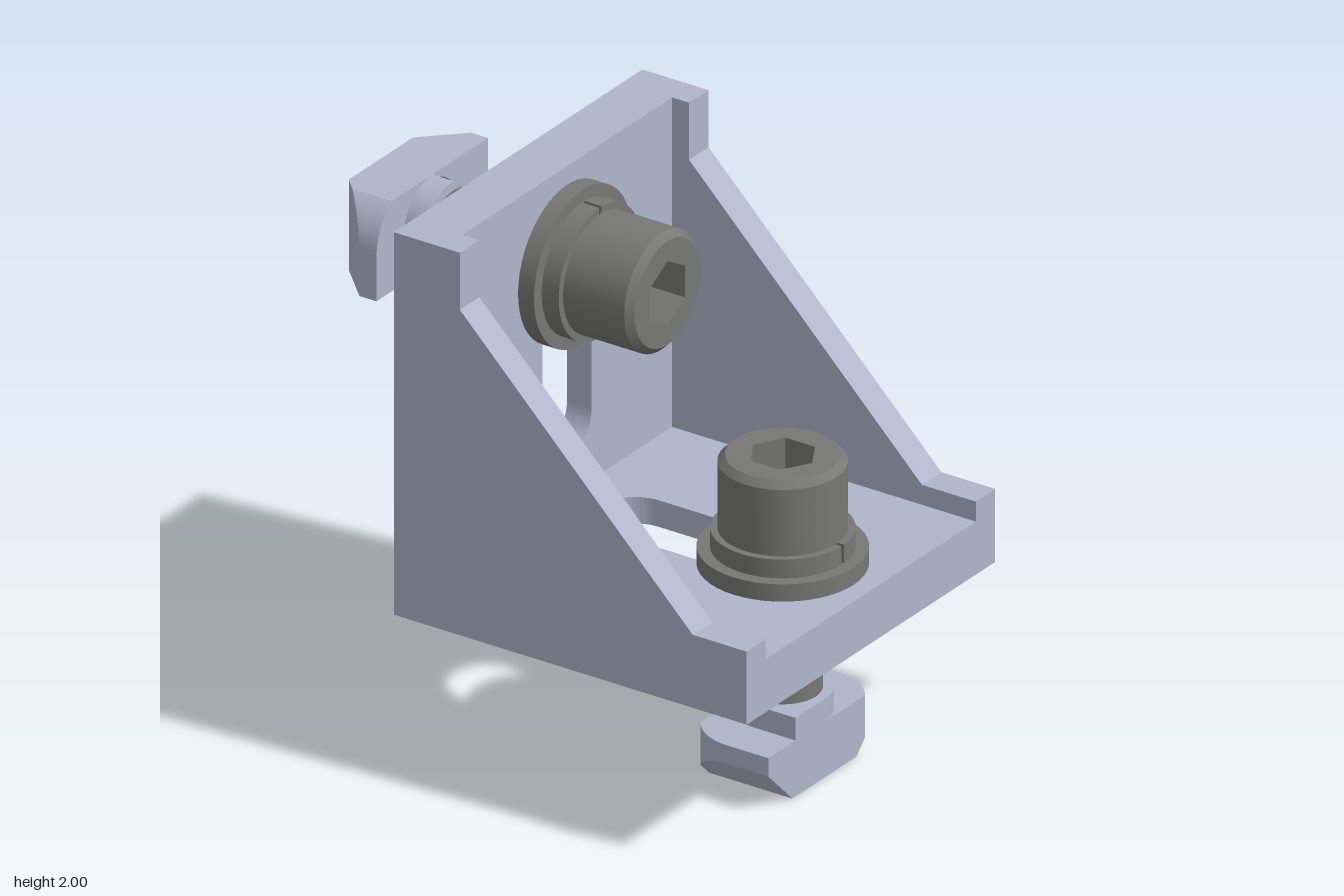
import * as THREE from 'three';
import { toCreasedNormals } from 'three/addons/utils/BufferGeometryUtils.js';

const aluminium = new THREE.MeshStandardMaterial({ color: 0xb0b5ca });
aluminium.name = 'pale aluminium';
const darkSteel = new THREE.MeshStandardMaterial({ color: 0x777776 });
darkSteel.name = 'dark steel';

function part(name, geometry, material) {
  const mesh = new THREE.Mesh(toCreasedNormals(geometry, 0.6), material);
  mesh.name = name;
  return mesh;
}

const polygon = (points) => new THREE.Shape(points.map(([x, y]) => new THREE.Vector2(x, y)));

// Extrude an x-y outline, centred on z
function extrudeZ(shape, width, z = 0) {
  const g = new THREE.ExtrudeGeometry(shape, { depth: width, bevelEnabled: false, curveSegments: 24 });
  return g.translate(0, 0, z - width / 2);
}

// Extrude an x-z outline from y0 up to y1
function extrudeY(shape, y0, y1) {
  const g = new THREE.ExtrudeGeometry(shape, { depth: y1 - y0, bevelEnabled: false, curveSegments: 24 });
  return g.rotateX(Math.PI / 2).translate(0, y1, 0);
}

function lathe(points) {
  return new THREE.LatheGeometry(points.map(([r, y]) => new THREE.Vector2(r, y)), 48);
}

function circlePath(r) {
  return new THREE.Path().absarc(0, 0, r, 0, Math.PI * 2, true);
}

const WALL = 0.115, HALF = 0.735, INNER = HALF - WALL, LENGTH = 1.44;

// One slotted leg: runs along s * x from the corner, outer face on y = 0
function createLeg(name, s) {
  const leg = new THREE.Group();
  leg.name = name;

  // thin plate with a rounded slot
  const plate = polygon([[s * 0.1, -INNER], [s * LENGTH, -INNER], [s * LENGTH, INNER], [s * 0.1, INNER]]);
  const r = 0.145;
  const ends = [s * (0.33 + r), s * (1.225 - r)].sort((a, b) => a - b);
  const slot = new THREE.Path();
  slot.absarc(ends[0], 0, r, Math.PI / 2, Math.PI * 1.5, false);
  slot.absarc(ends[1], 0, r, -Math.PI / 2, Math.PI / 2, false);
  slot.closePath();
  plate.holes.push(slot);
  leg.add(part('slottedPlate', extrudeY(plate, 0.1, 0.2), aluminium));

  // rim closing the recess at the free end
  const rim = new THREE.BoxGeometry(0.135, 0.1, 2 * INNER).translate(s * (LENGTH - 0.0675), 0.05, 0);
  leg.add(part('endRim', rim, aluminium));

  // wedge-shaped locating tabs
  for (const t of [0.13, 1.22]) {
    const wedge = polygon([[s * t, -0.07], [s * (t + 0.17), 0.1], [s * t, 0.1]]);
    leg.add(part('locatingTab', extrudeZ(wedge, 0.34), aluminium));
  }
  return leg;
}

function createBracket() {
  const bracket = new THREE.Group();
  bracket.name = 'angleBracket';

  // gusset side walls
  const profile = polygon([[-0.44, 0.56], [1, 0.56], [1, 0.835], [0.78, 0.835],
    [-0.17, 1.785], [-0.17, 2], [-0.44, 2]]);
  for (const side of [-1, 1]) {
    bracket.add(part('sideWall', extrudeZ(profile, WALL, side * (HALF - WALL / 2)), aluminium));
  }

  // solid strip where the legs meet
  const corner = new THREE.BoxGeometry(0.13, 0.13, 2 * INNER).translate(-0.375, 0.625, 0);
  bracket.add(part('cornerStrip', corner, aluminium));

  const bottom = createLeg('bottomLeg', 1);
  const upright = createLeg('uprightLeg', -1);
  upright.rotation.z = -Math.PI / 2;
  for (const leg of [bottom, upright]) {
    leg.position.set(-0.44, 0.56, 0);
    bracket.add(leg);
  }
  return bracket;
}

// T-shaped slot nut, outer end on y = 0
function createNut() {
  const nut = new THREE.Group();
  nut.name = 'slotNut';

  const core = polygon([[-0.17, -0.19], [0.17, -0.19], [0.17, 0.19], [-0.17, 0.19]]);
  core.holes.push(circlePath(0.15));
  nut.add(part('nutCore', extrudeY(core, 0, 0.21), aluminium));
  nut.add(part('nutBore', lathe([[0.125, 0.205], [0.125, 0.025], [0.15, 0]]), aluminium));

  // neck with two opposite corners rounded
  const neck = new THREE.Shape();
  neck.moveTo(-0.17, -0.17);
  neck.absarc(0, 0, 0.17, -Math.PI / 2, 0, false);
  neck.lineTo(0.17, 0.17);
  neck.absarc(0, 0, 0.17, Math.PI / 2, Math.PI, false);
  neck.closePath();
  nut.add(part('nutNeck', extrudeY(neck, 0.21, 0.295), aluminium));

  // wings: one rounded corner, outer face sloped at 45 degrees
  const outline = new THREE.Shape();
  outline.moveTo(-0.17, 0.19);
  outline.lineTo(0.17, 0.19);
  outline.lineTo(0.17, 0.33);
  outline.absarc(0, 0.125, 0.205, Math.PI / 2, 2.547, false);
  outline.closePath();
  for (const turn of [0, Math.PI]) {
    const g = extrudeY(outline, 0, 0.21);
    const p = g.attributes.position;
    for (let i = 0; i < p.count; i++) {
      if (p.getY(i) < 0.01) p.setY(i, Math.max(0, p.getZ(i) - 0.19));
    }
    nut.add(part('nutWing', g.rotateY(turn), aluminium));
  }
  return nut;
}

// Socket-head bolt with washers and nut, axis along y
function createFastener(name, splitAngle) {
  const fastener = new THREE.Group();
  fastener.name = name;
  fastener.add(createNut());

  const shaft = new THREE.CylinderGeometry(0.135, 0.135, 0.72, 48).translate(0, 0.56, 0);
  fastener.add(part('boltShaft', shaft, darkSteel));
  fastener.add(part('flatWasher', lathe([[0.13, 0.76], [0.29, 0.76], [0.29, 0.825], [0.13, 0.825]]), darkSteel));

  // spring washer with a narrow split
  const ring = new THREE.Shape();
  ring.absarc(0, 0, 0.245, 0.03, Math.PI * 2 - 0.03, false);
  ring.absarc(0, 0, 0.14, Math.PI * 2 - 0.03, 0.03, true);
  ring.closePath();
  fastener.add(part('springWasher', extrudeY(ring, 0.825, 0.895).rotateY(splitAngle), darkSteel));

  // chamfered head with hexagonal socket
  fastener.add(part('boltHead', lathe([[0, 0.895], [0.22, 0.895], [0.22, 1.145], [0.195, 1.17]]), darkSteel));
  const cap = new THREE.Shape().absarc(0, 0, 0.195, 0, Math.PI * 2, false);
  const hexagon = [];
  for (let i = 0; i < 6; i++) {
    const a = (i * Math.PI) / 3;
    hexagon.push(new THREE.Vector2(0.12 * Math.cos(a), 0.12 * Math.sin(a)));
  }
  cap.holes.push(new THREE.Path(hexagon));
  fastener.add(part('hexSocket', extrudeY(cap, 1.03, 1.17), darkSteel));
  const floor = new THREE.CircleGeometry(0.15, 24).rotateX(-Math.PI / 2).translate(0, 1.03, 0);
  fastener.add(part('socketFloor', floor, darkSteel));
  return fastener;
}

export function createModel() {
  const model = new THREE.Group();
  model.name = 'bracketSet';
  model.add(createBracket());

  const vertical = createFastener('bottomFastener', 0);
  vertical.position.set(0.64, 0, 0);
  const horizontal = createFastener('uprightFastener', Math.PI);
  horizontal.rotation.z = -Math.PI / 2;
  horizontal.position.set(-1, 1.64, 0);
  model.add(vertical, horizontal);
  return model;
}
